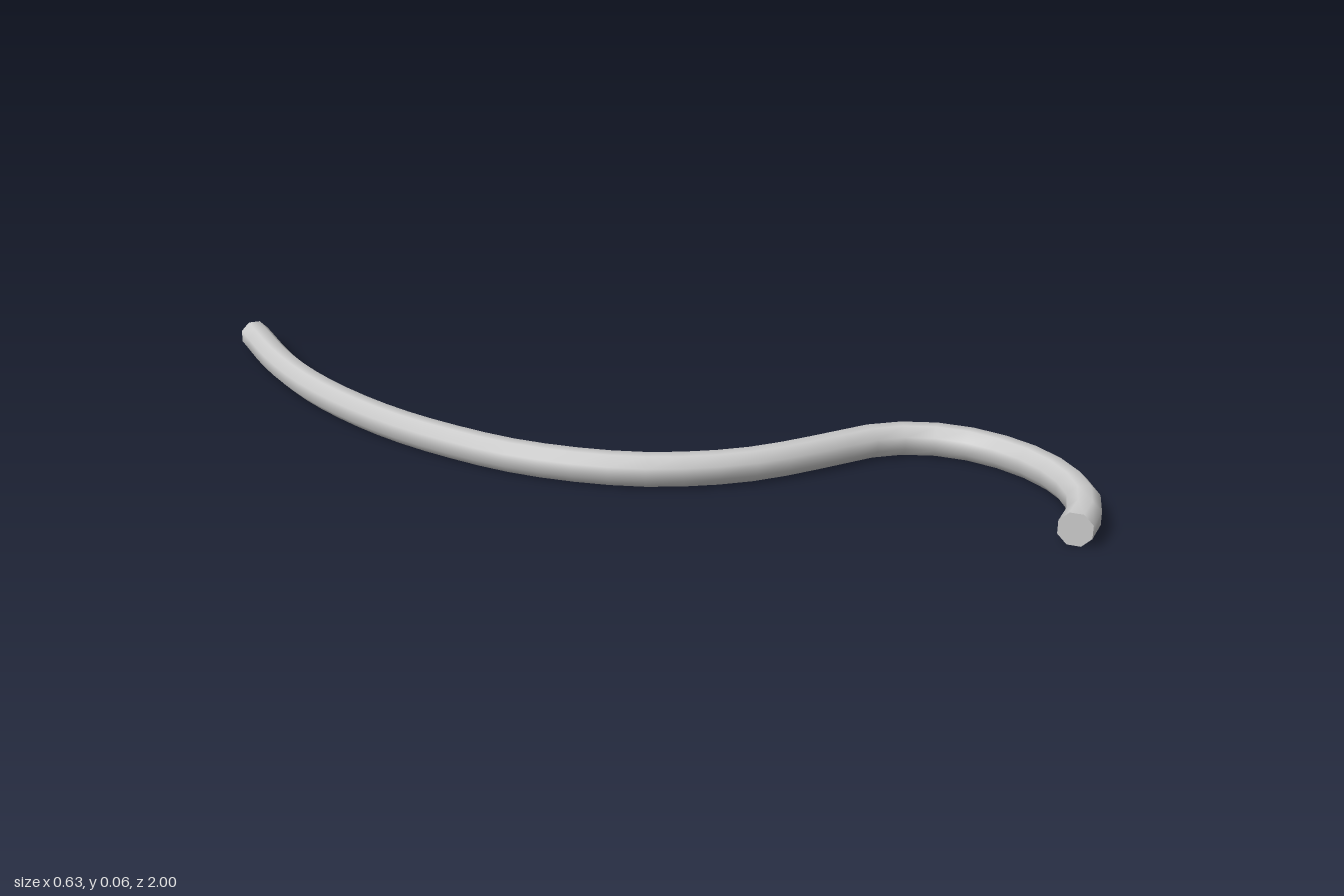
import * as THREE from 'three';

const SIDES = 8;
const HALF = 0.03; // half the flat-to-flat thickness
const RADIUS = HALF / Math.cos(Math.PI / SIDES);
const STEPS = 36;

// Centre line on the ground plane as [x, z], from the back end to the front end
const PATH = [
  [-0.025, -0.985], [-0.137, -0.79], [-0.218, -0.6], [-0.272, -0.38], [-0.286, -0.2],
  [-0.27, 0], [-0.195, 0.2], [-0.085, 0.33], [0.01, 0.395], [0.11, 0.445],
  [0.205, 0.495], [0.262, 0.565], [0.284, 0.66], [0.262, 0.78], [0.2, 0.88],
  [0.11, 0.948], [0.012, 0.969],
];

export function createModel() {
  const group = new THREE.Group();
  group.name = 'curvedRod';
  const material = new THREE.MeshStandardMaterial({ color: 0xcccccc });
  const curve = new THREE.CatmullRomCurve3(PATH.map(([x, z]) => new THREE.Vector3(x, HALF, z)));
  const up = new THREE.Vector3(0, 1, 0);

  // Octagonal rings, flat on top and bottom, swept along the curve
  const rings = [];
  for (let i = 0; i <= STEPS; i++) {
    const centre = curve.getPointAt(i / STEPS);
    const side = new THREE.Vector3().crossVectors(up, curve.getTangentAt(i / STEPS)).normalize();
    const ring = [];
    for (let j = 0; j < SIDES; j++) {
      const a = ((j + 0.5) / SIDES) * Math.PI * 2;
      ring.push(centre.clone()
        .addScaledVector(side, RADIUS * Math.cos(a))
        .addScaledVector(up, RADIUS * Math.sin(a)));
    }
    rings.push(ring);
  }

  const index = [];
  for (let i = 0; i < STEPS; i++) {
    for (let j = 0; j < SIDES; j++) {
      const k = (j + 1) % SIDES;
      const a = i * SIDES + j, b = i * SIDES + k;
      index.push(a, b, a + SIDES, b, b + SIDES, a + SIDES);
    }
  }
  const addPart = (name, points, indices) => {
    const geometry = new THREE.BufferGeometry().setFromPoints(points);
    geometry.setIndex(indices);
    geometry.computeVertexNormals();
    const mesh = new THREE.Mesh(geometry, material);
    mesh.name = name;
    group.add(mesh);
  };
  addPart('rod', rings.flat(), index);

  // Flat end caps
  const fan = (flip) => {
    const out = [];
    for (let j = 1; j < SIDES - 1; j++) out.push(0, flip ? j + 1 : j, flip ? j : j + 1);
    return out;
  };
  addPart('backCap', rings[0], fan(true));
  addPart('frontCap', rings[STEPS], fan(false));
  return group;
}
